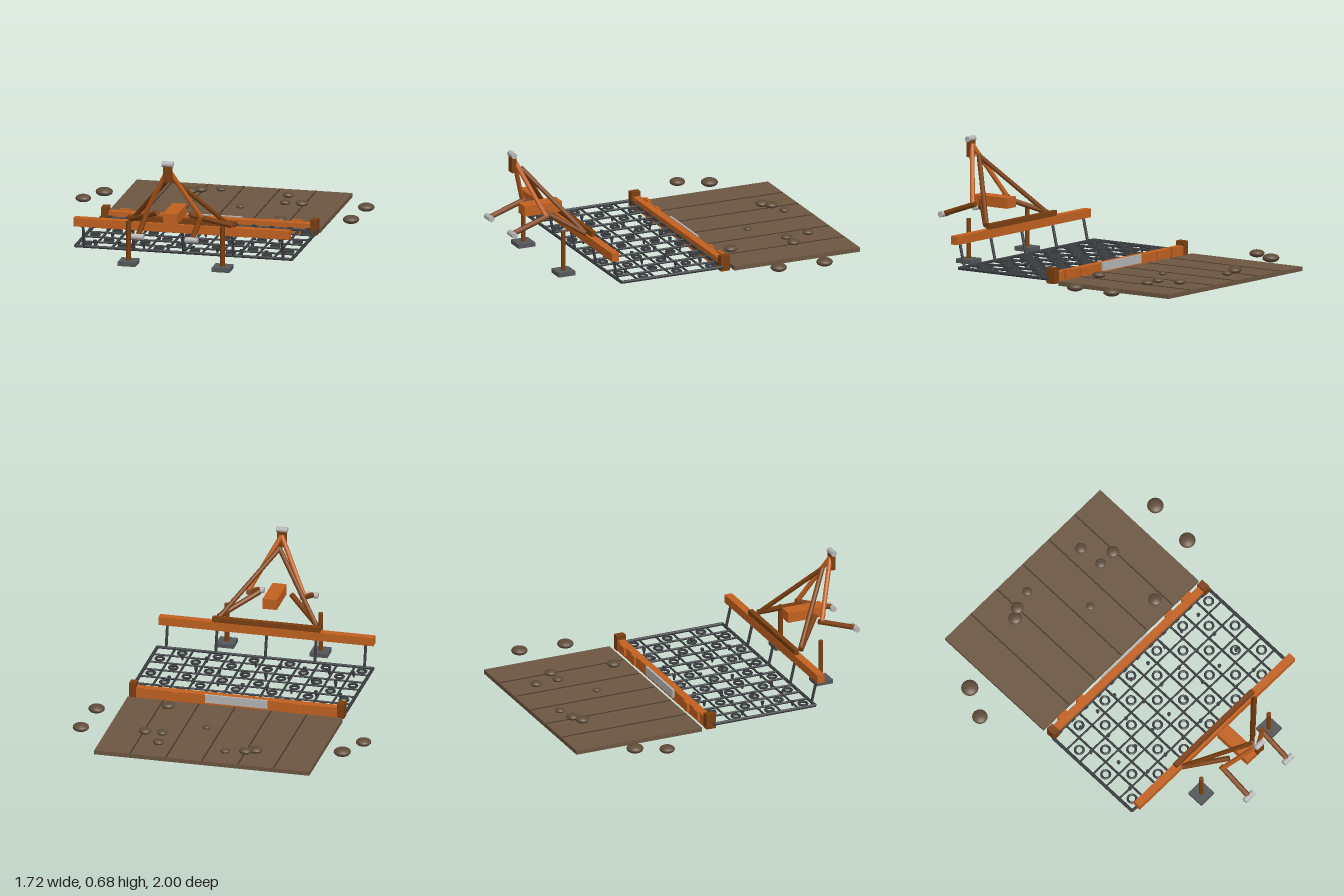
import * as THREE from 'three';

const material = (name, color) => {
  const m = new THREE.MeshStandardMaterial({ color });
  m.name = name;
  return m;
};

export function createModel() {
  const orange = material('orange paint', 0xc2611f);
  const rust = material('dark rust paint', 0x7c3f10);
  const iron = material('dark iron', 0x393c40);
  const footGrey = material('foot grey', 0x54575a);
  const steel = material('bright steel', 0xb4b5b4);
  const soilBrown = material('soil', 0x6c5641);
  const furrowBrown = material('furrow', 0x45362a);
  const stoneBrown = material('clod', 0x5f4c39);

  const model = new THREE.Group();
  const machine = new THREE.Group();
  machine.name = 'harrow';
  machine.position.x = 0.02; // machine is symmetric about this line
  model.add(machine);

  const add = (name, geometry, mat, x = 0, y = 0, z = 0, parent = machine) => {
    const mesh = new THREE.Mesh(geometry, mat);
    mesh.name = name;
    mesh.position.set(x, y, z);
    parent.add(mesh);
    return mesh;
  };
  // Box given by its centre and size
  const box = (name, mat, [x, y, z], [w, h, d], parent) =>
    add(name, new THREE.BoxGeometry(w, h, d), mat, x, y, z, parent);
  // Round bar between two points
  const rod = (name, mat, from, to, radius, sides = 10) => {
    const a = new THREE.Vector3(...from), b = new THREE.Vector3(...to);
    const mesh = add(name, new THREE.CylinderGeometry(radius, radius, a.distanceTo(b), sides), mat);
    mesh.position.copy(a).add(b).multiplyScalar(0.5);
    mesh.quaternion.setFromUnitVectors(new THREE.Vector3(0, 1, 0), b.sub(a).normalize());
    return mesh;
  };

  // Soil bed with shallow furrow lines
  box('soilBed', soilBrown, [0, 0.0125, -0.603], [1.275, 0.025, 0.795]);
  for (let i = -2; i <= 2; i++) {
    box('furrow', furrowBrown, [i * 0.213, 0.0255, -0.603], [0.008, 0.003, 0.79]);
  }

  // Clods: x, y, z, radius
  const clods = [
    [-0.735, 0.03, -0.685, 0.05], [-0.82, 0.03, -0.52, 0.045],
    [0.81, 0.03, -0.705, 0.048], [0.787, 0.03, -0.425, 0.048],
    [-0.25, 0.038, -0.795, 0.039], [-0.197, 0.041, -0.83, 0.037], [-0.085, 0.041, -0.86, 0.028],
    [0.32, 0.04, -0.825, 0.033], [0.335, 0.036, -0.68, 0.031], [0.435, 0.036, -0.68, 0.036],
    [0.105, 0.034, -0.54, 0.024], [0.395, 0.039, -0.3, 0.039],
  ];
  for (const [x, y, z, r] of clods) {
    add('clod', new THREE.SphereGeometry(r, 16, 10), stoneBrown, x, y, z, model).scale.y = 0.5;
  }

  // Chain mat: 12 by 6 lattice with rings in alternate cells
  const cols = 12, rows = 6, cell = 0.1065, matY = 0.033;
  const left = -cols * cell / 2, back = -0.128;
  for (let i = 0; i <= cols; i++) {
    const edge = i === 0 || i === cols;
    const x = left + i * cell;
    rod('matLongBar', iron, [x, matY, back], [x, matY, back + rows * cell], edge ? 0.01 : 0.007, 8);
  }
  for (let j = 0; j <= rows; j++) {
    const z = back + j * cell;
    const edge = j === 0 || j === rows;
    rod('matCrossBar', iron, [left, matY, z], [-left, matY, z], edge ? 0.009 : 0.006, 8);
  }
  const ringGeometry = new THREE.TorusGeometry(0.025, 0.007, 6, 16).rotateX(Math.PI / 2);
  for (let j = 0; j < rows; j++) {
    for (let i = (j + 1) % 2; i < cols; i += 2) {
      add('matRing', ringGeometry, iron, left + (i + 0.5) * cell, matY, back + (j + 0.5) * cell);
    }
  }

  // Downward tines in staggered rows
  const tineGeometry = new THREE.CylinderGeometry(0.012, 0.005, 0.032, 8);
  [-0.057, 0.09, 0.248, 0.407].forEach((z, row) => {
    for (let i = 0; i < 8; i++) {
      const x = row % 2 ? -0.55 + i * 0.145 : -0.483 + i * 0.138;
      add('tine', tineGeometry, iron, x, 0.029, z);
    }
  });

  // Rear levelling bar with end caps, brackets and wear plate
  box('rearBar', orange, [0, 0.038, -0.15], [1.275, 0.065, 0.046]);
  box('wearPlate', steel, [0, 0.05, -0.178], [0.37, 0.05, 0.012]);
  for (const s of [-1, 1]) {
    box('rearEndCap', rust, [s * 0.617, 0.052, -0.148], [0.042, 0.09, 0.058]);
    box('rearBracket', orange, [s * 0.508, 0.05, -0.178], [0.066, 0.055, 0.022]);
    box('rearBracket', orange, [s * 0.365, 0.045, -0.177], [0.052, 0.055, 0.02]);
  }
  for (let i = 0; i < cols; i++) {
    box('rearLink', iron, [left + (i + 0.5) * cell, 0.038, -0.123], [0.026, 0.016, 0.016]);
  }

  // Front beam, stiffener and hangers to the mat
  box('frontBeam', orange, [0, 0.19, 0.548], [1.275, 0.05, 0.046]);
  box('beamStiffener', rust, [0, 0.23, 0.542], [0.64, 0.032, 0.028]);
  for (let i = -2; i <= 2; i++) {
    rod('hanger', iron, [i * 0.294, 0.17, 0.543], [i * 0.294, 0.033, 0.511], 0.0085, 8);
  }

  // Hitch frame: mirrored bars, hitch pins and parking stands
  for (const s of [-1, 1]) {
    rod('rearBrace', rust, [s * 0.285, 0.235, 0.58], [0, 0.575, 0.85], 0.014);
    rod('lowerBrace', rust, [s * 0.295, 0.232, 0.578], [s * 0.095, 0.332, 0.76], 0.016);
    rod('mastStrut', orange, [s * 0.165, 0.325, 0.772], [0, 0.635, 0.9], 0.014);
    rod('lowerArm', rust, [s * 0.16, 0.322, 0.755], [s * 0.16, 0.245, 0.978], 0.016);
    rod('hitchPin', steel, [s * 0.16 - 0.036, 0.243, 0.982], [s * 0.16 + 0.036, 0.243, 0.982], 0.0175, 16);
    rod('standLeg', rust, [s * 0.278, 0.02, 0.713], [s * 0.278, 0.258, 0.713], 0.0135);
    box('standFoot', footGrey, [s * 0.278, 0.0125, 0.713], [0.105, 0.025, 0.105]);
  }
  box('weightBox', orange, [0, 0.323, 0.733], [0.084, 0.062, 0.238]);
  box('mastHead', rust, [0, 0.612, 0.908], [0.05, 0.1, 0.027]);
  rod('topPin', steel, [-0.033, 0.667, 0.91], [0.033, 0.667, 0.91], 0.017, 16);

  return model;
}
